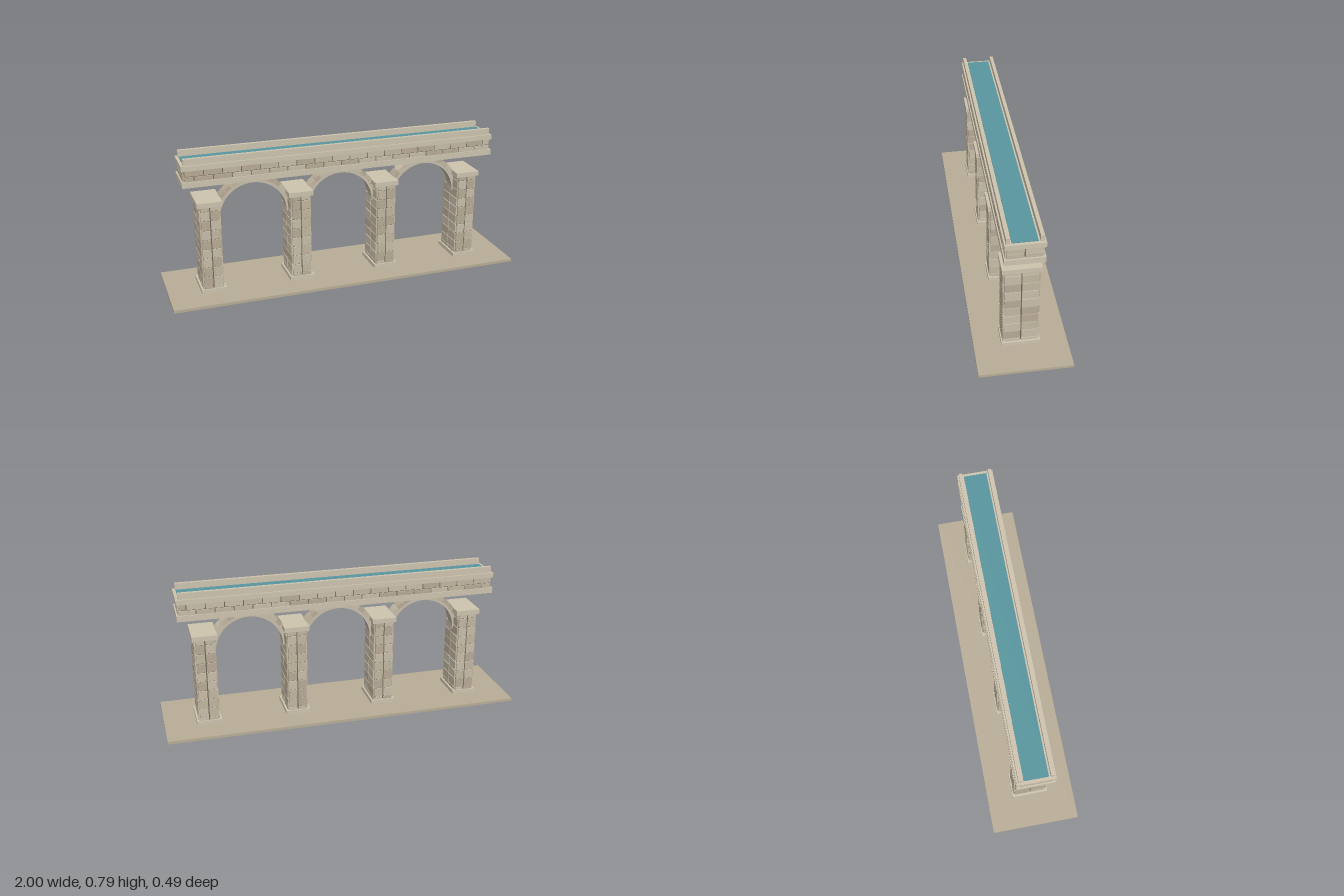
import * as THREE from 'three';

const mat = (color, extra = {}) => new THREE.MeshStandardMaterial({ color, ...extra });
const trim = mat(0xcfc5b0);
const mortar = mat(0x6f685a);
const earth = mat(0xb9ae98);
const water = mat(0x5a97a0);
const stones = [mat(0xc9bfaa), mat(0xb9ac97), mat(0xc2b7a1)];

// Small seeded generator, used only for the choice of stone tone
let seed = 7;
const stone = () => {
  seed = (seed * 16807) % 2147483647;
  return stones[seed % 3];
};

// Box given by its lower and upper limits on each axis
function box(parent, name, material, [x0, x1], [y0, y1], [z0, z1]) {
  const mesh = new THREE.Mesh(new THREE.BoxGeometry(x1 - x0, y1 - y0, z1 - z0), material);
  mesh.position.set((x0 + x1) / 2, (y0 + y1) / 2, (z0 + z1) / 2);
  mesh.name = name;
  parent.add(mesh);
}

// Sector of a flat ring, centred on z = 0
function ringSector(parent, name, material, rIn, rOut, a0, a1, halfDepth, segments) {
  const shape = new THREE.Shape();
  shape.absarc(0, 0, rOut, a0, a1, false);
  shape.absarc(0, 0, rIn, a1, a0, true);
  const geo = new THREE.ExtrudeGeometry(shape, {
    depth: 2 * halfDepth, bevelEnabled: false, curveSegments: segments,
  });
  geo.translate(0, 0, -halfDepth);
  const mesh = new THREE.Mesh(geo, material);
  mesh.name = name;
  parent.add(mesh);
}

const SPAN = 0.503;
const GAP = 0.005;

// Pier: mortar core faced on four sides with paired blocks, plus base and cap
function createPier() {
  const pier = new THREE.Group();
  pier.name = 'pier';
  const cx = 0.05, cz = 0.087, t = 0.008, bottom = 0.038, top = 0.514;
  box(pier, 'pierCore', mortar, [-cx, cx], [bottom, top], [-cz, cz]);
  box(pier, 'pierBase', trim, [-0.069, 0.069], [0.014, bottom], [-0.101, 0.101]);
  box(pier, 'pierCap', trim, [-0.069, 0.069], [top, 0.541], [-0.101, 0.101]);
  for (let row = 0; row < 10; row++) {
    const joint = 0.055 + 0.0542 * row;
    const y = [Math.max(bottom, joint - 0.0542 + GAP / 2), Math.min(top, joint - GAP / 2)];
    for (const face of [-1, 1]) {
      const out = (c) => (face > 0 ? [c, c + t] : [-c - t, -c]);
      for (const half of [-1, 1]) {
        const along = (c) => (half > 0 ? [0.003, c] : [-c, -0.003]);
        box(pier, 'pierBlock', stone(), along(cx), y, out(cz));
        box(pier, 'pierBlock', stone(), out(cx), y, along(cz));
      }
    }
  }
  return pier;
}

// Arch: smooth ring with separate voussoirs standing out of it
function createArch() {
  const arch = new THREE.Group();
  arch.name = 'arch';
  const count = 16, step = Math.PI / count;
  ringSector(arch, 'archRing', stones[0], 0.187, 0.219, 0, Math.PI, 0.0295, 48);
  for (let i = 0; i < count; i++) {
    ringSector(arch, 'voussoir', stone(), 0.203, 0.225,
      i * step + 0.01, (i + 1) * step - 0.01, 0.031, 4);
  }
  return arch;
}

// One course of the channel wall, laid in running bond on all four sides
function addCourse(deck, y, offset) {
  const hx = 0.877, hz = 0.087, t = 0.008, length = 0.101;
  for (const side of [-1, 1]) {
    const out = (c) => (side > 0 ? [c, c + t] : [-c - t, -c]);
    for (let x = -hx - offset; x < hx; x += length) {
      const x0 = Math.max(-hx, x + GAP / 2), x1 = Math.min(hx, x + length - GAP / 2);
      if (x1 - x0 > 0.004) box(deck, 'deckBlock', stone(), [x0, x1], y, out(hz));
    }
    box(deck, 'deckEndBlock', stone(), out(hx), y, [-hz, -0.003]);
    box(deck, 'deckEndBlock', stone(), out(hx), y, [0.003, hz]);
  }
}

// Deck: core, two block courses, two cornices, parapets and water
function createDeck() {
  const deck = new THREE.Group();
  deck.name = 'deck';
  box(deck, 'deckCore', mortar, [-0.877, 0.877], [0.631, 0.73], [-0.087, 0.087]);
  addCourse(deck, [0.638, 0.691], 0.05);
  addCourse(deck, [0.696, 0.729], 0);
  box(deck, 'lowerCornice', trim, [-0.893, 0.893], [0.635, 0.667], [-0.101, 0.101]);
  box(deck, 'upperCornice', trim, [-0.893, 0.893], [0.727, 0.755], [-0.101, 0.101]);
  box(deck, 'parapet', trim, [-0.88, 0.88], [0.754, 0.79], [0.073, 0.092]);
  box(deck, 'parapet', trim, [-0.88, 0.88], [0.754, 0.79], [-0.092, -0.073]);
  box(deck, 'water', water, [-0.876, 0.876], [0.753, 0.759], [-0.064, 0.064]);
  return deck;
}

export function createModel() {
  seed = 7;
  const model = new THREE.Group();
  model.name = 'aqueduct';
  box(model, 'ground', earth, [-1, 1], [0, 0.016], [-0.245, 0.245]);
  for (let i = 0; i < 4; i++) {
    const pier = createPier();
    pier.position.x = (i - 1.5) * SPAN;
    model.add(pier);
  }
  for (let i = -1; i <= 1; i++) {
    const arch = createArch();
    arch.position.set(i * SPAN, 0.415, 0);
    model.add(arch);
  }
  model.add(createDeck());
  return model;
}
